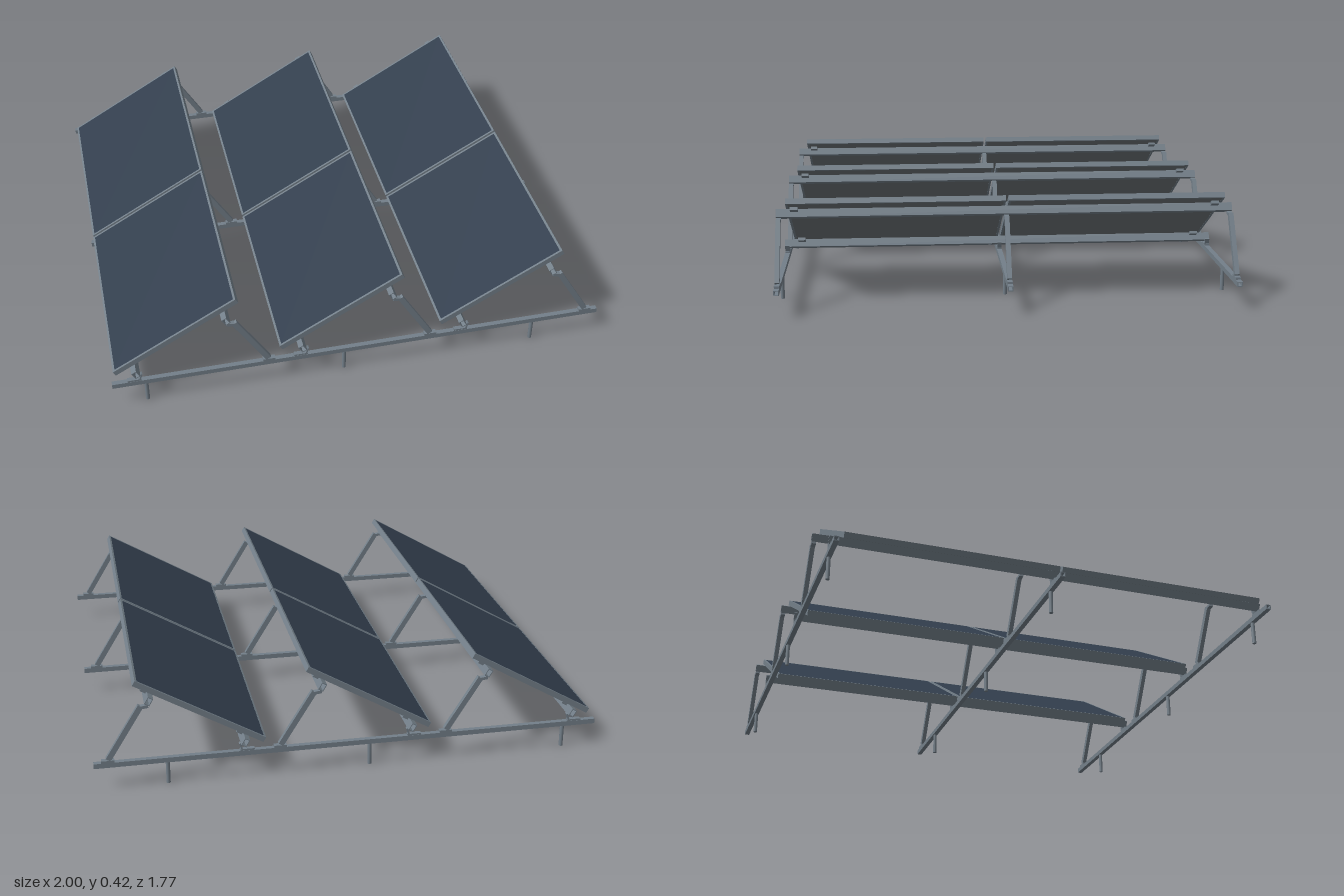
import * as THREE from 'three';

const steel = new THREE.MeshStandardMaterial({ color: 0x737f89 });
steel.name = 'galvanised steel';
const cells = new THREE.MeshStandardMaterial({ color: 0x323e4d });
cells.name = 'dark blue cells';
const backing = new THREE.MeshStandardMaterial({ color: 0x6c7275 });
backing.name = 'grey back sheet';

const RAIL_Z = [-0.875, 0, 0.875];
const TILT = Math.PI / 6;

function add(parent, name, geometry, material, x, y, z) {
  const mesh = new THREE.Mesh(geometry, material);
  mesh.name = name;
  mesh.position.set(x, y, z);
  parent.add(mesh);
  return mesh;
}

const box = (w, h, d) => new THREE.BoxGeometry(w, h, d);

// Rectangular outline, used for hollow sections and panel frames
function rectPath(target, w, h) {
  target.moveTo(-w / 2, -h / 2);
  target.lineTo(w / 2, -h / 2);
  target.lineTo(w / 2, h / 2);
  target.lineTo(-w / 2, h / 2);
  target.closePath();
  return target;
}

// Hollow rectangular section running along z, centred
function hollow(w, h, length, wall) {
  const shape = rectPath(new THREE.Shape(), w, h);
  shape.holes.push(rectPath(new THREE.Path(), w - 2 * wall, h - 2 * wall));
  const g = new THREE.ExtrudeGeometry(shape, { depth: length, bevelEnabled: false });
  return g.translate(0, 0, -length / 2);
}

// Straight bar between two points in the xy plane
function bar(parent, name, x1, y1, x2, y2, thick, depth, z) {
  const length = Math.hypot(x2 - x1, y2 - y1);
  const mesh = add(parent, name, box(length, thick, depth), steel, (x1 + x2) / 2, (y1 + y2) / 2, z);
  mesh.rotation.z = Math.atan2(y2 - y1, x2 - x1);
  return mesh;
}

// One panel: rim, cell face and back sheet
function panel(z) {
  const g = new THREE.Group();
  g.name = 'solarPanel';
  g.position.z = z;
  const rim = hollow(0.57, 0.84, 0.022, 0.009);
  rim.translate(0, 0, 0).rotateX(-Math.PI / 2);
  add(g, 'panelFrame', rim, steel, 0, 0, 0);
  add(g, 'cellFace', box(0.552, 0.006, 0.822), cells, 0, 0.0075, 0);
  add(g, 'backSheet', box(0.552, 0.006, 0.822), backing, 0, -0.0075, 0);
  return g;
}

// One tilted row with its purlins, brackets and rear struts
function panelRow(offset) {
  const row = new THREE.Group();
  row.name = 'panelRow';
  row.position.x = offset;

  const tilted = new THREE.Group();
  tilted.name = 'tiltedDeck';
  tilted.position.set(-0.738, 0.272, 0);
  tilted.rotation.z = TILT;
  row.add(tilted);
  for (const side of [-1, 1]) tilted.add(panel(side * 0.425));
  for (const s of [-0.208, 0.21]) {
    add(tilted, 'purlin', hollow(0.022, 0.032, 1.77, 0.003), steel, s, -0.027, 0);
    // Clips holding the panels to the purlin
    for (const z of [-0.815, 0.815]) {
      add(tilted, 'panelClip', box(0.026, 0.012, 0.03), steel, s + 0.022, -0.017, z);
    }
  }

  for (const z of RAIL_Z) {
    // Low front bracket
    add(row, 'frontFoot', box(0.055, 0.007, 0.018), steel, -0.912, 0.1145, z);
    bar(row, 'frontBracket', -0.892, 0.112, -0.882, 0.142, 0.006, 0.018, z);
    // Tall rear support
    bar(row, 'strutHead', -0.54, 0.334, -0.505, 0.329, 0.012, 0.018, z);
    bar(row, 'rearStrut', -0.511, 0.335, -0.38, 0.122, 0.022, 0.018, z);
    add(row, 'rearFoot', box(0.05, 0.01, 0.02), steel, -0.378, 0.115, z);
  }
  return row;
}

export function createModel() {
  const model = new THREE.Group();
  model.name = 'solarArray';

  // Ground rails on short posts
  for (const z of RAIL_Z) {
    const rail = add(model, 'groundRail', hollow(0.02, 0.02, 2, 0.003), steel, 0, 0.101, z);
    rail.rotation.y = Math.PI / 2;
    for (const x of [-0.867, -0.072, 0.72]) {
      add(model, 'post', new THREE.CylinderGeometry(0.008, 0.008, 0.093, 12), steel, x, 0.0465, z);
    }
  }

  for (let i = 0; i < 3; i++) model.add(panelRow(i * 0.662));
  return model;
}
